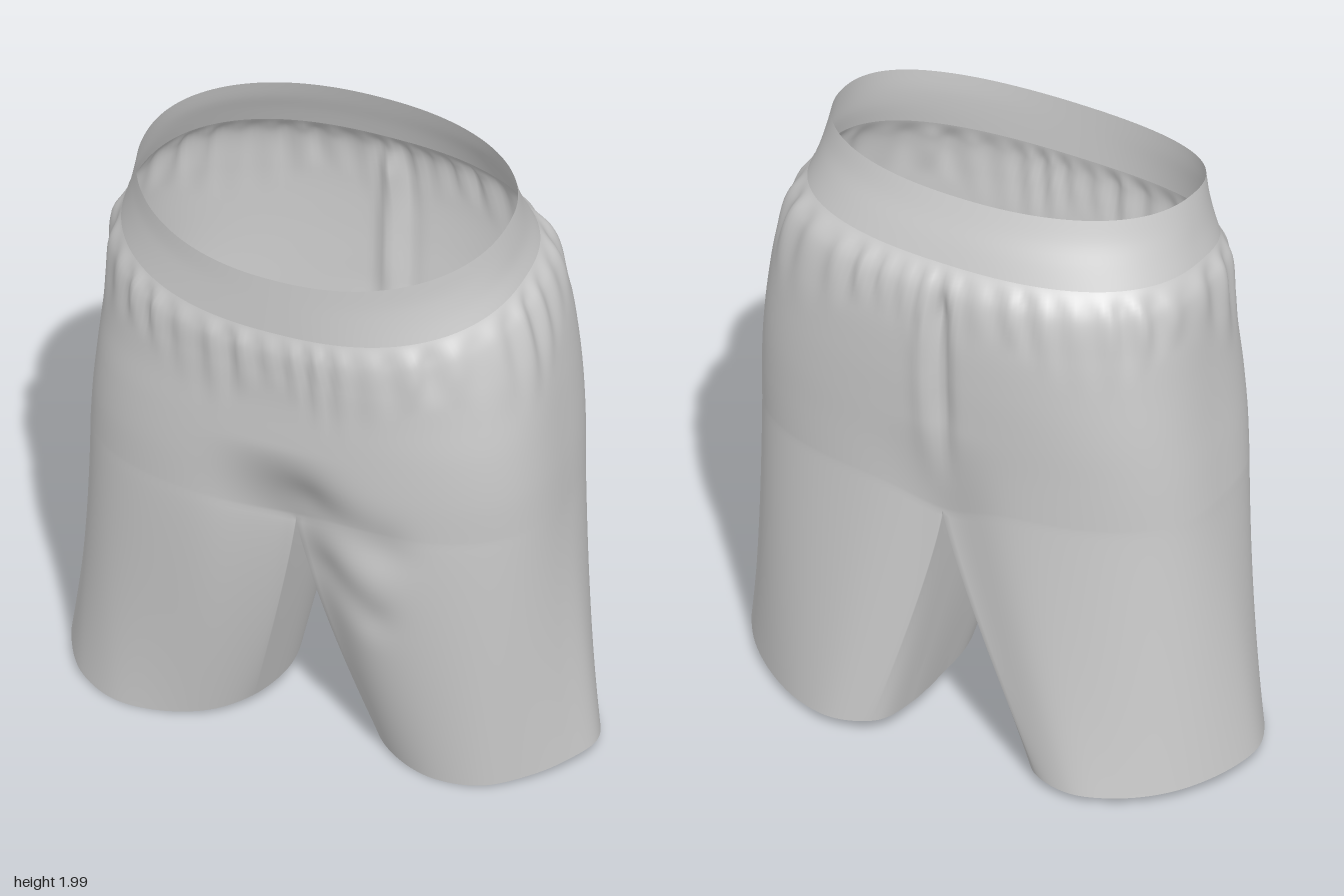
import * as THREE from 'three';
import { mergeGeometries, mergeVertices } from 'three/addons/utils/BufferGeometryUtils.js';

const { lerp, smoothstep } = THREE.MathUtils;
const N = 240; // points around the body
const HALF = N / 2;

// Body cross-sections: height at the side, left x, right x, front z, back z, squareness
const BODY = [
  [0.95, 0.773, 0.745, 0.440, 0.444, 2.8],
  [1.10, 0.768, 0.731, 0.449, 0.450, 2.9],
  [1.25, 0.758, 0.715, 0.455, 0.460, 2.9],
  [1.40, 0.745, 0.702, 0.460, 0.470, 2.75],
  [1.55, 0.725, 0.692, 0.468, 0.473, 2.6],
  [1.68, 0.690, 0.680, 0.472, 0.460, 2.5],
  [1.76, 0.645, 0.645, 0.460, 0.415, 2.4],
];
const BAND = [
  [1.760, 0.645, 0.645, 0.460, 0.415, 2.4],
  [1.825, 0.625, 0.625, 0.460, 0.392, 2.3],
  [1.895, 0.612, 0.608, 0.460, 0.365, 2.2],
  [1.965, 0.600, 0.592, 0.460, 0.340, 2.2],
];

// Hem outlines as [distance from the middle, z], from the inner front, round the outside, to the inner back
const HEM_LEFT = [[0.22, 0.17], [0.32, 0.25], [0.45, 0.29], [0.6, 0.27], [0.72, 0.18], [0.8, 0.08],
  [0.85, -0.04], [0.79, -0.18], [0.67, -0.31], [0.5, -0.42], [0.35, -0.46], [0.22, -0.42],
  [0.178, -0.3], [0.172, -0.1], [0.182, 0.06]];
const HEM_RIGHT = [[0.2, 0.15], [0.3, 0.25], [0.45, 0.3], [0.6, 0.3], [0.73, 0.23], [0.81, 0.12],
  [0.85, 0], [0.82, -0.16], [0.73, -0.31], [0.6, -0.41], [0.45, -0.46], [0.31, -0.42],
  [0.24, -0.3], [0.172, -0.16], [0.152, 0]];

// Smooth interpolation between the rows of a table
function section(rows, t) {
  const last = rows.length - 1;
  const i = Math.min(Math.floor(t * last), last - 1);
  const f = t * last - i;
  const row = (k) => rows[Math.max(0, Math.min(last, k))];
  return rows[0].map((_, c) => {
    const a = row(i - 1)[c], b = row(i)[c], d = row(i + 1)[c], e = row(i + 2)[c];
    return b + 0.5 * f * (d - a + f * (2 * a - 5 * b + 4 * d - e + f * (3 * (b - d) + e - a)));
  });
}

// Slope of the waist, steeper towards the front
const waistSlope = (z) => -0.09 * z - 0.38 * Math.max(0, z) ** 2;
const waistTilt = (h) => smoothstep(h, 1.25, 1.85);

function bodyPoint(rows, t, angle) {
  const [h, l, r, f, b, n] = section(rows, t);
  const c = Math.cos(angle), s = Math.sin(angle);
  const k = (Math.abs(c) ** n + Math.abs(s) ** n) ** (-1 / n);
  const x = (l - r) / 2 + ((l + r) / 2) * c * k;
  const z = (f - b) / 2 + ((f + b) / 2) * s * k;
  // The middle tucks inwards and down into the crotch
  const tuck = (1 - smoothstep(h, 0.87, 1.22)) * Math.exp(-((x / 0.15) ** 2));
  return new THREE.Vector3(x, h + waistTilt(h) * waistSlope(z) - 0.09 * tuck,
    z * (1 - (z > 0 ? 0.32 : 0.12) * tuck));
}

// Soft falloff around a line from (ax, ay) to (bx, by)
function crease(x, y, ax, ay, bx, by, width) {
  const dx = bx - ax, dy = by - ay;
  const k = THREE.MathUtils.clamp(((x - ax) * dx + (y - ay) * dy) / (dx * dx + dy * dy), 0, 1);
  const d = Math.hypot(x - ax - k * dx, y - ay - k * dy) / width;
  return Math.exp(-d * d);
}

// Gathers, folds and the back seam
function drape(p) {
  const a = Math.atan2(p.z, p.x);
  const below = 1.76 + waistTilt(1.76) * waistSlope(p.z) - p.y; // distance under the waistband
  const fade = smoothstep(below, 0, 0.06) * (1 - smoothstep(below, 0.1, 0.3 + 0.08 * Math.sin(a * 7)));
  const wave = Math.sin(36 * a + 1.2 * Math.sin(5 * a)) * (0.7 + 0.3 * Math.sin(11 * a));
  const push = 0.011 * wave * fade;
  const front = smoothstep(p.z, 0.1, 0.4);
  const back = smoothstep(-p.z, 0.25, 0.4);
  const { x, y } = p;
  p.x += push * Math.cos(a);
  p.z += push * Math.sin(a);
  p.z -= front * (0.024 * crease(x, y, 0.1, 0.98, 0.32, 0.9, 0.1)
    + 0.016 * crease(x, y, 0.14, 0.72, 0.28, 0.62, 0.08));
  const seam = smoothstep(y, 0.95, 1.35) * (1 - smoothstep(y, 1.62, 1.76));
  p.z += back * seam * (0.03 * Math.exp(-(((x + 0.015) / 0.03) ** 2))
    - 0.01 * Math.exp(-(((x - 0.05) / 0.03) ** 2)));
  return p;
}

// Surface through a grid of points
function grid(rows, cols, point, flip) {
  const pos = [], index = [];
  for (let i = 0; i <= rows; i++) {
    for (let j = 0; j <= cols; j++) pos.push(...point(i / rows, j));
  }
  for (let i = 0; i < rows; i++) {
    for (let j = 0; j < cols; j++) {
      const a = i * (cols + 1) + j, b = a + 1, c = a + cols + 1, d = c + 1;
      if (flip) index.push(a, b, c, b, d, c);
      else index.push(a, c, b, b, c, d);
    }
  }
  const g = new THREE.BufferGeometry();
  g.setAttribute('position', new THREE.Float32BufferAttribute(pos, 3));
  g.setIndex(index);
  return g;
}

// One leg: its top ring is half the body ring plus the crotch seam, its bottom ring the hem
function leg(side, hemPoints) {
  const outside = 0.72; // share of the hem that continues the body ring
  const frontMid = bodyPoint(BODY, 0, Math.PI / 2);
  const backMid = bodyPoint(BODY, 0, -Math.PI / 2);
  const hem = new THREE.CatmullRomCurve3(
    hemPoints.map(([x, z]) => new THREE.Vector3(
      side * x, 0.002 + 0.03 * (0.3 - z) + 0.03 * ((x - 0.51) / 0.34) ** 2, z)), true);
  const rings = [];
  for (let j = 0; j <= N; j++) {
    const s = (j % HALF) / HALF;
    if (j < HALF) {
      const angle = Math.PI / 2 - Math.PI * s;
      const top = bodyPoint(BODY, 0, side > 0 ? angle : Math.PI - angle);
      rings.push([top, hem.getPointAt(outside * s)]);
    } else {
      const k = j === N ? 1 : s;
      const top = backMid.clone().lerp(frontMid, k);
      top.y -= 0.065 * Math.max(0, Math.sin(Math.PI * k));
      rings.push([top, hem.getPointAt(lerp(outside, 1, k))]);
    }
  }
  const point = (t, j) => {
    const [top, end] = rings[j];
    return drape(new THREE.Vector3(
      lerp(top.x, end.x, t ** 1.2), lerp(top.y, end.y, t), lerp(top.z, end.z, t ** 1.35)));
  };
  return grid(44, N, point, side < 0);
}

export function createModel() {
  const fabric = new THREE.MeshStandardMaterial({ color: 0xcccccc, side: THREE.DoubleSide });
  fabric.name = 'grey fabric';
  const group = new THREE.Group();
  group.name = 'shorts';

  const add = (name, parts) => {
    const geometry = mergeVertices(mergeGeometries(parts), 1e-4);
    geometry.computeVertexNormals();
    const mesh = new THREE.Mesh(geometry, fabric);
    mesh.name = name;
    group.add(mesh);
  };
  const angleAt = (j) => (2 * Math.PI * (j % N)) / N;

  // Seat and both legs share one smooth surface
  const seat = grid(48, N, (t, j) => drape(bodyPoint(BODY, t, angleAt(j))), false);
  add('seatAndLegs', [seat, leg(1, HEM_LEFT), leg(-1, HEM_RIGHT)]);

  // Elastic waistband
  add('waistband', [grid(10, N, (t, j) => bodyPoint(BAND, t, angleAt(j)), false)]);
  return group;
}
